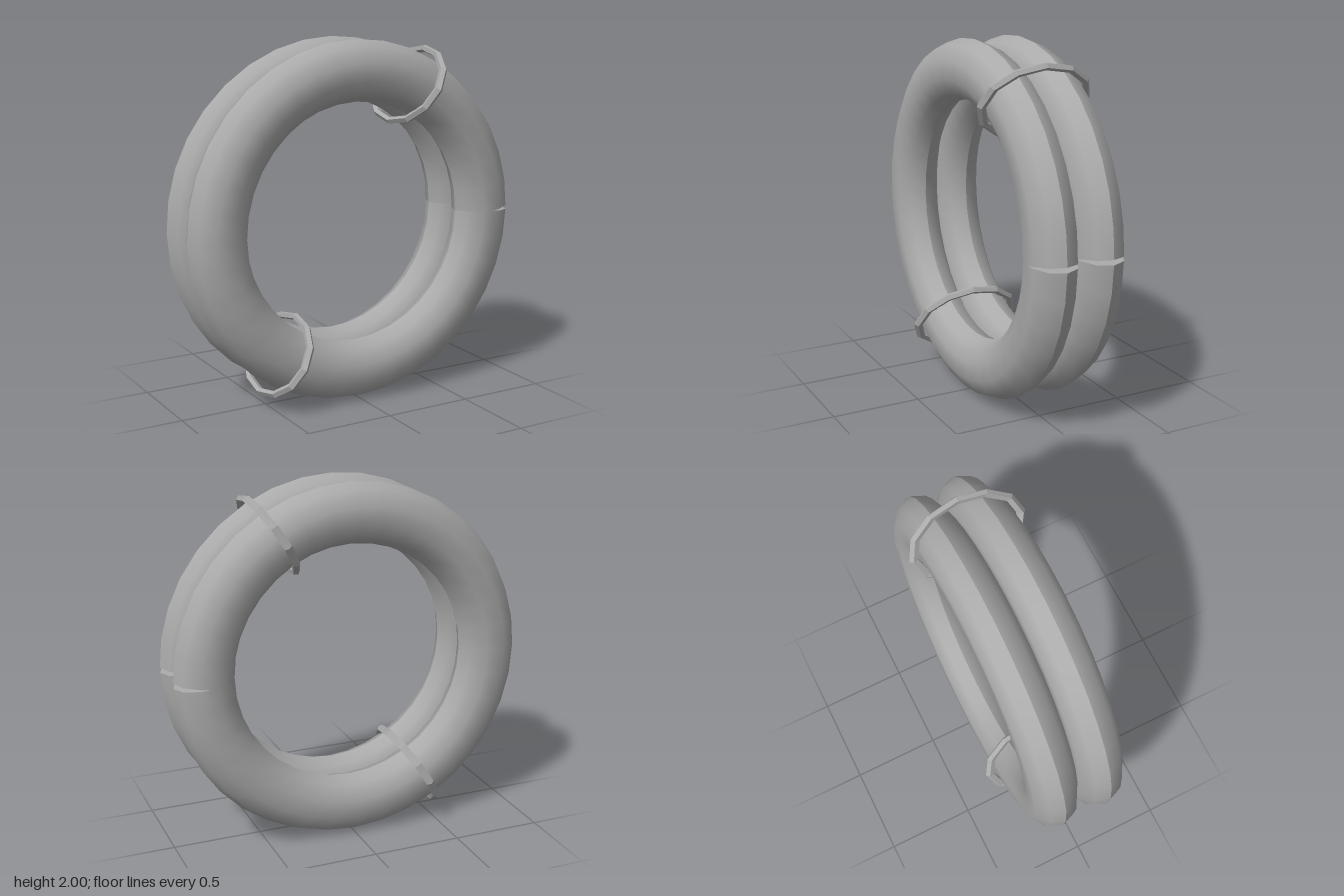
import * as THREE from 'three';
import { toCreasedNormals } from 'three/addons/utils/BufferGeometryUtils.js';

const SEGMENTS = 36, SIDES = 10;
const HOOP_RADIUS = 0.833, HALF_DEPTH = 0.167, HALF_WIDTH = 0.133;

// Nearly closed tube: its two end sections are tilted so a thin wedge stays open.
function hoopGeometry() {
  const points = [], index = [];
  const tilt = Math.PI / SEGMENTS;
  for (let i = 0; i <= SEGMENTS; i++) {
    const a = (i / SEGMENTS) * Math.PI * 2;
    const t = i === 0 ? tilt : i === SEGMENTS ? -tilt : a;
    for (let j = 0; j < SIDES; j++) {
      const b = (j / SIDES) * Math.PI * 2;
      const d = HALF_DEPTH * Math.cos(b);
      points.push(
        HOOP_RADIUS * Math.cos(a) + d * Math.cos(t),
        HOOP_RADIUS * Math.sin(a) + d * Math.sin(t),
        HALF_WIDTH * Math.sin(b)
      );
    }
  }
  for (let i = 0; i < SEGMENTS; i++) {
    for (let j = 0; j < SIDES; j++) {
      const k = (j + 1) % SIDES, p = i * SIDES, q = p + SIDES;
      index.push(p + j, q + j, q + k, p + j, q + k, p + k);
    }
  }
  // end caps
  const last = SEGMENTS * SIDES;
  for (let j = 1; j < SIDES - 1; j++) {
    index.push(0, j, j + 1, last, last + j + 1, last + j);
  }
  const g = new THREE.BufferGeometry();
  g.setAttribute('position', new THREE.Float32BufferAttribute(points, 3));
  g.setIndex(index);
  return toCreasedNormals(g, THREE.MathUtils.degToRad(41));
}

// Faceted oval link standing in the plane of the hoop's radius and z.
function linkGeometry(angle) {
  const radial = new THREE.Vector3(Math.cos(angle), Math.sin(angle), 0);
  const depth = new THREE.Vector3(0, 0, 1);
  const normal = new THREE.Vector3().crossVectors(radial, depth);
  const g = new THREE.TorusGeometry(0.268, 0.023, 5, 12).toNonIndexed();
  g.scale(0.85, 1.14, 1);
  g.applyMatrix4(new THREE.Matrix4().makeBasis(radial, depth, normal));
  g.translate(radial.x * 0.835, radial.y * 0.835, 0);
  g.computeVertexNormals();
  return g;
}

export function createModel() {
  const model = new THREE.Group();
  model.name = 'doubleHoop';
  const grey = new THREE.MeshStandardMaterial({ color: 0xaaaaaa });
  grey.name = 'grey';

  const add = (name, geometry, z = 0) => {
    const mesh = new THREE.Mesh(geometry, grey);
    mesh.name = name;
    mesh.position.set(0, 1, z);
    model.add(mesh);
  };

  // two hoops side by side
  const hoop = hoopGeometry();
  add('frontHoop', hoop, 0.134);
  add('backHoop', hoop, -0.134);

  // two opposite links binding the hoops
  add('upperLink', linkGeometry(Math.PI / 3));
  add('lowerLink', linkGeometry((Math.PI * 4) / 3));
  return model;
}
